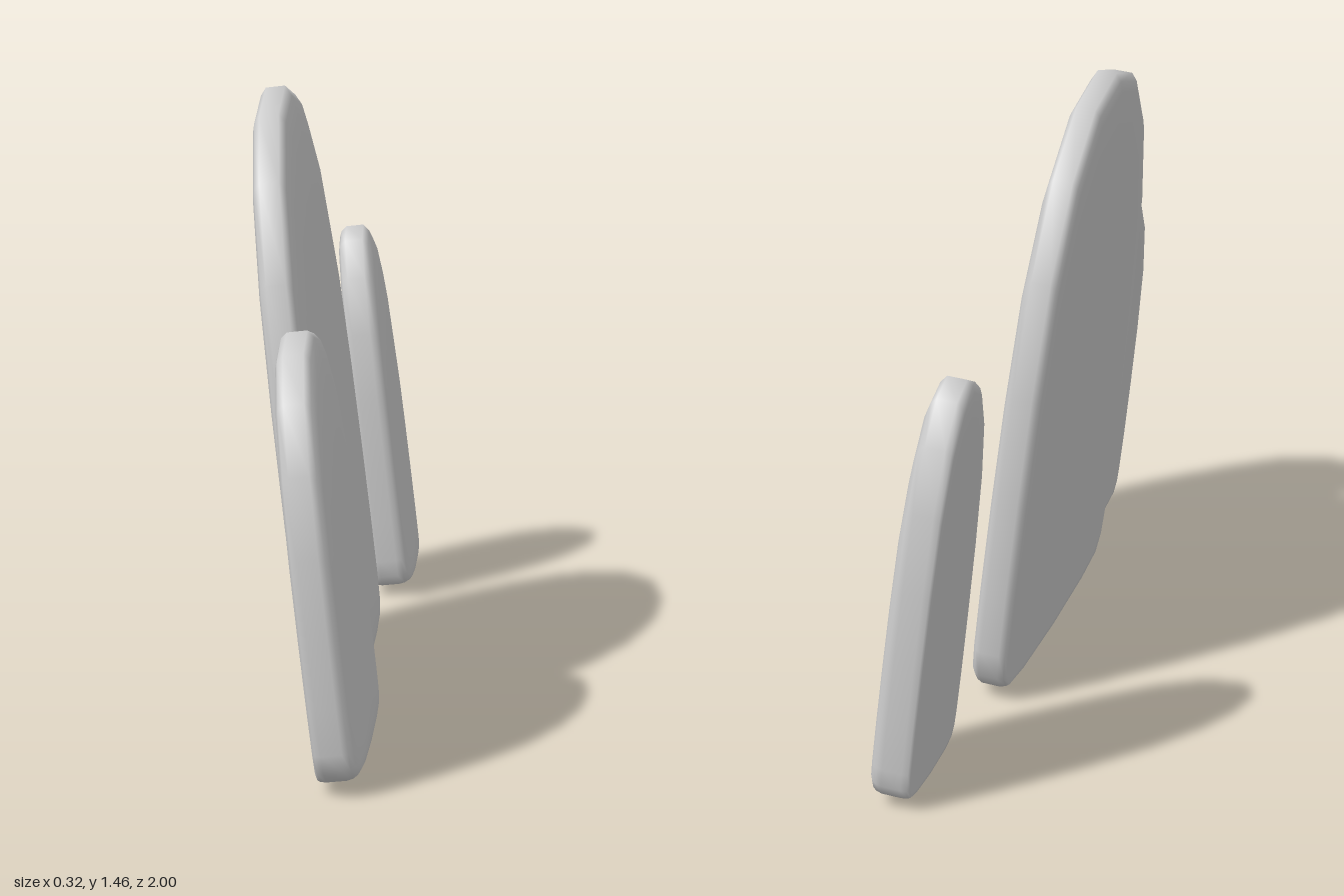
import * as THREE from 'three';

// Half outline of a slab, as fractions of half width and height, from the tip down to the base
const HALF = [
  [0, 1], [0.37, 0.97], [0.665, 0.875], [0.865, 0.725], [0.955, 0.54], [0.99, 0.36],
  [1, 0.2], [0.99, 0.09], [0.965, 0.045], [0.88, 0.018], [0.6, 0.006], [0, 0],
];
const OUTLINE = [...HALF, ...HALF.slice(1, -1).reverse().map(([u, v]) => [-u, v])];

// Cross-section from back to front: [depth, scale of the outline]; the front is softly domed
const LAYERS = [
  [0, 0.9], [0, 0.968], [0.006, 0.986], [0.02, 1], [0.066, 1], [0.08, 0.98],
  [0.09, 0.94], [0.098, 0.86], [0.104, 0.68], [0.107, 0.4],
];
const THICKNESS = 0.108;
const LEAN = 0.12;
const PIVOT = 0.12; // height fraction the outline shrinks towards

function slabGeometry(halfWidth, height) {
  const n = OUTLINE.length;
  const positions = [];
  const index = [];
  for (const [depth, s] of LAYERS) {
    for (const [u, v] of OUTLINE) {
      positions.push(depth, (PIVOT + (v - PIVOT) * s) * height, u * s * halfWidth);
    }
  }
  const back = LAYERS.length * n;
  const front = back + 1;
  positions.push(0, PIVOT * height, 0, THICKNESS, PIVOT * height, 0);

  const last = (LAYERS.length - 1) * n;
  for (let i = 0; i < n; i++) {
    const j = (i + 1) % n;
    // rim and dome
    for (let k = 0; k < last; k += n) {
      index.push(k + i, k + j, k + n + j, k + i, k + n + j, k + n + i);
    }
    // back and front caps
    index.push(back, j, i, front, last + i, last + j);
  }
  const geometry = new THREE.BufferGeometry();
  geometry.setAttribute('position', new THREE.Float32BufferAttribute(positions, 3));
  geometry.setIndex(index);
  geometry.computeVertexNormals();
  return geometry;
}

export function createModel() {
  const group = new THREE.Group();
  group.name = 'leaningSlabs';
  const material = new THREE.MeshStandardMaterial({ color: 0xcccccc });

  const slabs = [
    { name: 'tallSlab', halfWidth: 0.505, height: 1.467, at: [0.005, 0, 0.095] },
    { name: 'wideShortSlab', halfWidth: 0.315, height: 0.975, at: [0.058, 0.012, 0.685] },
    { name: 'narrowShortSlab', halfWidth: 0.19, height: 0.975, at: [0.058, 0.012, -0.81] },
  ];
  for (const { name, halfWidth, height, at } of slabs) {
    const slab = new THREE.Mesh(slabGeometry(halfWidth, height), material);
    slab.name = name;
    slab.position.set(...at);
    slab.rotation.z = LEAN;
    group.add(slab);
  }
  return group;
}
